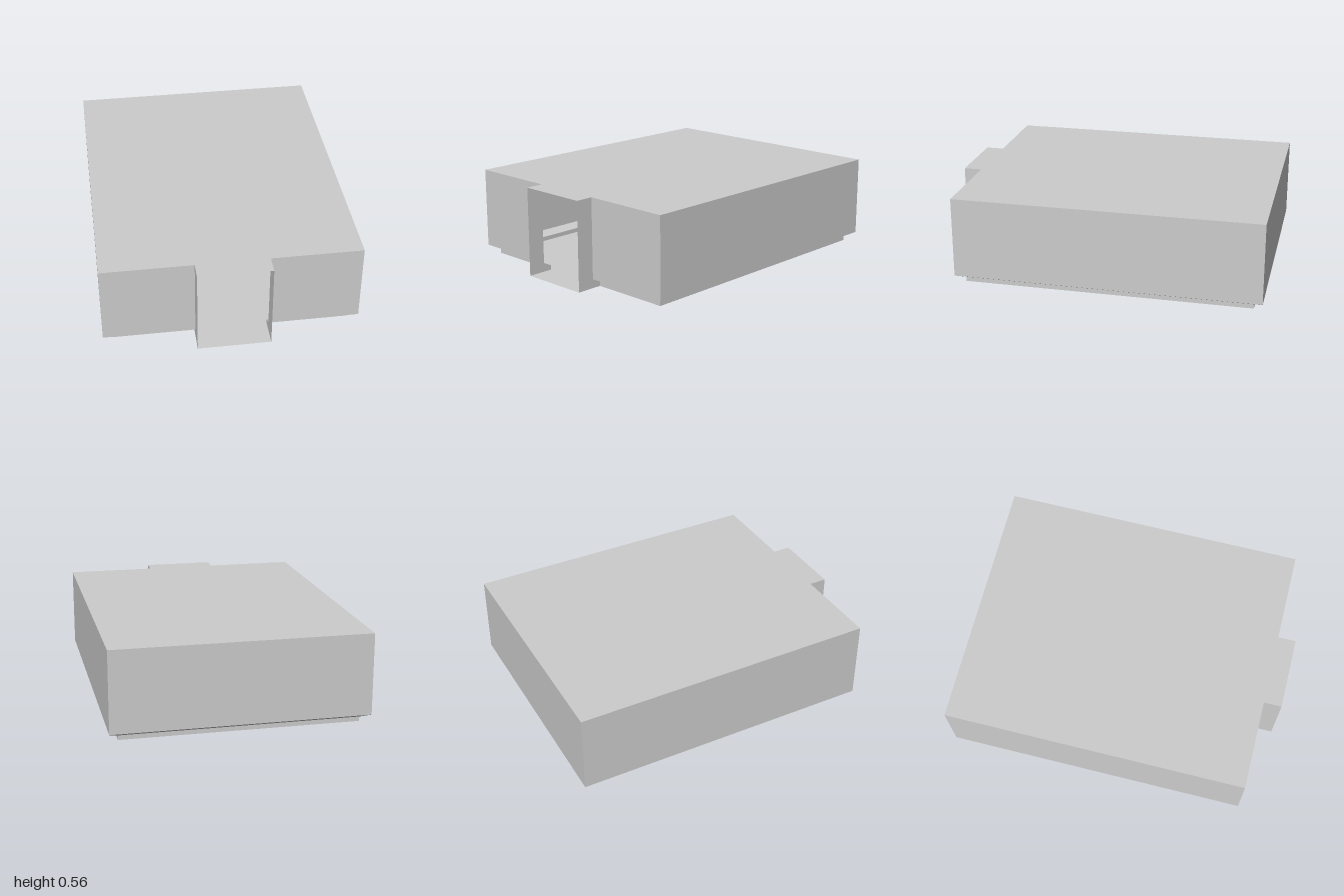
import * as THREE from 'three';

const U = 1 / 36; // grid unit

// Plan outline as [x, z], open across the front of the spout
function outline(inset) {
  const half = [[8, 36], [8, 32 - inset], [28 - inset, 32 - inset], [28 - inset, -36 + inset]];
  const mirrored = half.map(([x, z]) => [-x, z]).reverse();
  return [...half, ...mirrored].map(([x, z]) => [x * U, z * U]);
}

// Wall strip joining two outlines at different heights
function wallGeometry(low, yLow, high, yHigh) {
  const pos = [];
  for (let i = 0; i < low.length - 1; i++) {
    const a = [low[i][0], yLow, low[i][1]];
    const b = [low[i + 1][0], yLow, low[i + 1][1]];
    const c = [high[i + 1][0], yHigh, high[i + 1][1]];
    const d = [high[i][0], yHigh, high[i][1]];
    pos.push(...a, ...b, ...c, ...a, ...c, ...d);
  }
  const g = new THREE.BufferGeometry();
  g.setAttribute('position', new THREE.Float32BufferAttribute(pos, 3));
  g.computeVertexNormals();
  return g;
}

// Flat panel filling an outline, facing up (1) or down (-1)
function panelGeometry(points, y, facing) {
  const shape = new THREE.Shape(points.map(([x, z]) => new THREE.Vector2(x, -z * facing)));
  return new THREE.ShapeGeometry(shape).rotateX(-facing * Math.PI / 2).translate(0, y, 0);
}

export function createModel() {
  const group = new THREE.Group();
  group.name = 'hollowBox';
  const material = new THREE.MeshStandardMaterial({
    color: 0xcccccc, side: THREE.DoubleSide, flatShading: true,
  });
  const add = (name, geometry) => {
    const mesh = new THREE.Mesh(geometry, material);
    mesh.name = name;
    group.add(mesh);
  };

  const outer = outline(0);
  const inner = outline(2);

  // Thin shell: recessed plinth, sloped step, tall walls; the spout is open at the front
  add('basePlinth', wallGeometry(inner, 0, inner, U));
  add('slopedStep', wallGeometry(inner, U, outer, 2 * U));
  add('sideWalls', wallGeometry(outer, 2 * U, outer, 20 * U));
  add('floor', panelGeometry(inner, 0, -1));
  add('topPanel', panelGeometry(outer, 20 * U, 1));
  return group;
}
